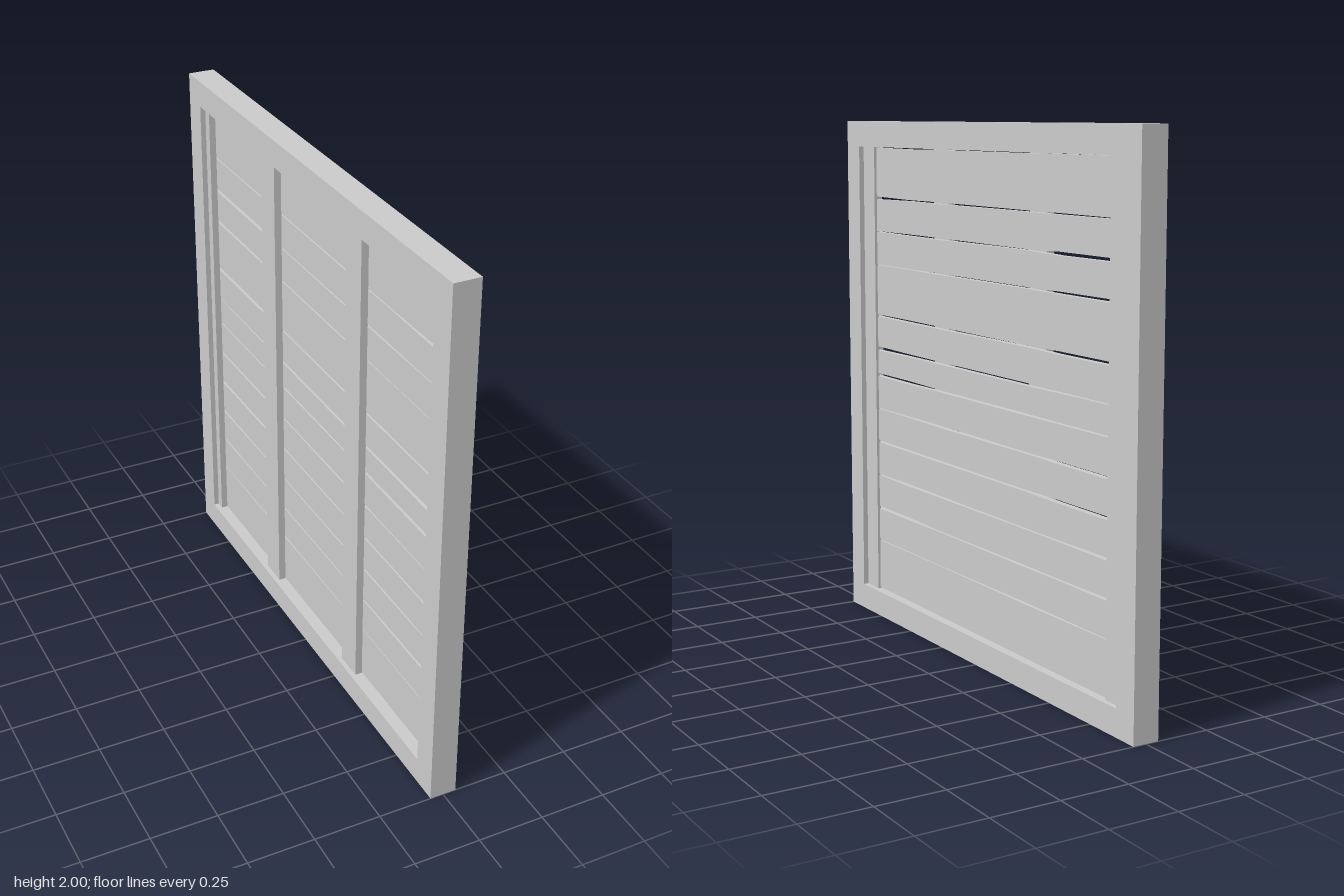
import * as THREE from 'three';

const material = new THREE.MeshStandardMaterial({ color: 0xcccccc, flatShading: true });

// Extrude an outline given in (-z, y) along x, from x0 to x1
function slab(name, shape, x0, x1) {
  const geo = new THREE.ExtrudeGeometry(shape, { depth: x1 - x0, bevelEnabled: false });
  geo.translate(0, 0, x0);
  geo.rotateY(Math.PI / 2);
  const mesh = new THREE.Mesh(geo, material);
  mesh.name = name;
  return mesh;
}

const outline = (pairs) => new THREE.Shape(pairs.map(([u, v]) => new THREE.Vector2(u, v)));
const rect = (u0, v0, u1, v1) => [[u0, v0], [u1, v0], [u1, v1], [u0, v1]];

function box(name, x0, x1, y0, y1, z0, z1) {
  const geo = new THREE.BoxGeometry(x1 - x0, y1 - y0, z1 - z0);
  const mesh = new THREE.Mesh(geo, material);
  mesh.position.set((x0 + x1) / 2, (y0 + y1) / 2, (z0 + z1) / 2);
  mesh.name = name;
  return mesh;
}

export function createModel() {
  const group = new THREE.Group();
  group.name = 'plankPanel';

  // Outer frame with a square opening
  const frame = outline(rect(-1, 0, 1, 2));
  frame.holes.push(new THREE.Path(rect(-0.9, 0.1, 0.9, 1.9).map(([u, v]) => new THREE.Vector2(u, v))));
  group.add(slab('frame', frame, -0.05, 0.05));

  // Seams between planks: height, then gap width at each station along the plank
  const stations = [-0.9, -0.55, -0.3, 0.3, 0.5, 0.9];
  const seams = [
    [0.102, 0.002, 0.006, 0.004, 0.002, 0, 0],
    [0.305, 0.004, 0.004, 0.003, 0.008, 0.006, 0.003],
    [0.441, 0.012, 0.011, 0.005, 0.008, 0.006, 0.01],
    [0.578, 0.004, 0.010, 0.008, 0.005, 0.006, 0.012],
    [0.716, 0.009, 0.008, 0.008, 0.007, 0.012, 0.013],
    [0.852, 0.003, 0.006, 0.010, 0.006, 0.010, 0.010],
    [0.989, 0.012, 0.014, 0.008, 0.008, 0.006, 0.005],
    [1.096, 0.019, 0.012, 0.010, 0.011, 0.006, 0.003],
    [1.230, 0.008, 0.010, 0.009, 0.006, 0.013, 0.013],
    [1.434, 0.003, 0.003, 0.006, 0.006, 0.010, 0.012],
    [1.566, 0.003, 0.007, 0.007, 0.004, 0.014, 0.013],
    [1.699, 0.014, 0.005, 0.007, 0.005, 0.006, 0.004],
    [1.898, 0.002, 0.007, 0.003, 0.004, 0.001, 0],
  ];
  const edge = ([y, ...gaps], side) => stations.map((u, i) => [u, y + side * gaps[i] / 2]);

  // Horizontal planks with slightly uneven edges
  for (let i = 0; i + 1 < seams.length; i++) {
    const pts = [...edge(seams[i], 1), ...edge(seams[i + 1], -1).reverse()];
    group.add(slab(`plank${i + 1}`, outline(pts), -0.005, 0.02));
  }

  for (const s of [-1, 1]) {
    // Flat strips covering the plank ends on one face
    const [a, b] = [s * 0.81, s * 0.9].sort((p, q) => p - q);
    group.add(box(s > 0 ? 'frontStrip' : 'rearStrip', 0.015, 0.03, 0.1, 1.9, a, b));

    // Narrow retaining strips on the other face
    const [c, d] = [s * 0.865, s * 0.9].sort((p, q) => p - q);
    group.add(box(s > 0 ? 'frontRetainer' : 'rearRetainer', -0.03, -0.004, 0.1, 1.9, c, d));

    // Upright battens behind the planks
    const [e, f] = [s * 0.28, s * 0.39].sort((p, q) => p - q);
    group.add(box(s > 0 ? 'frontBatten' : 'rearBatten', -0.032, -0.004, 0.1, 1.9, e, f));
  }
  return group;
}
